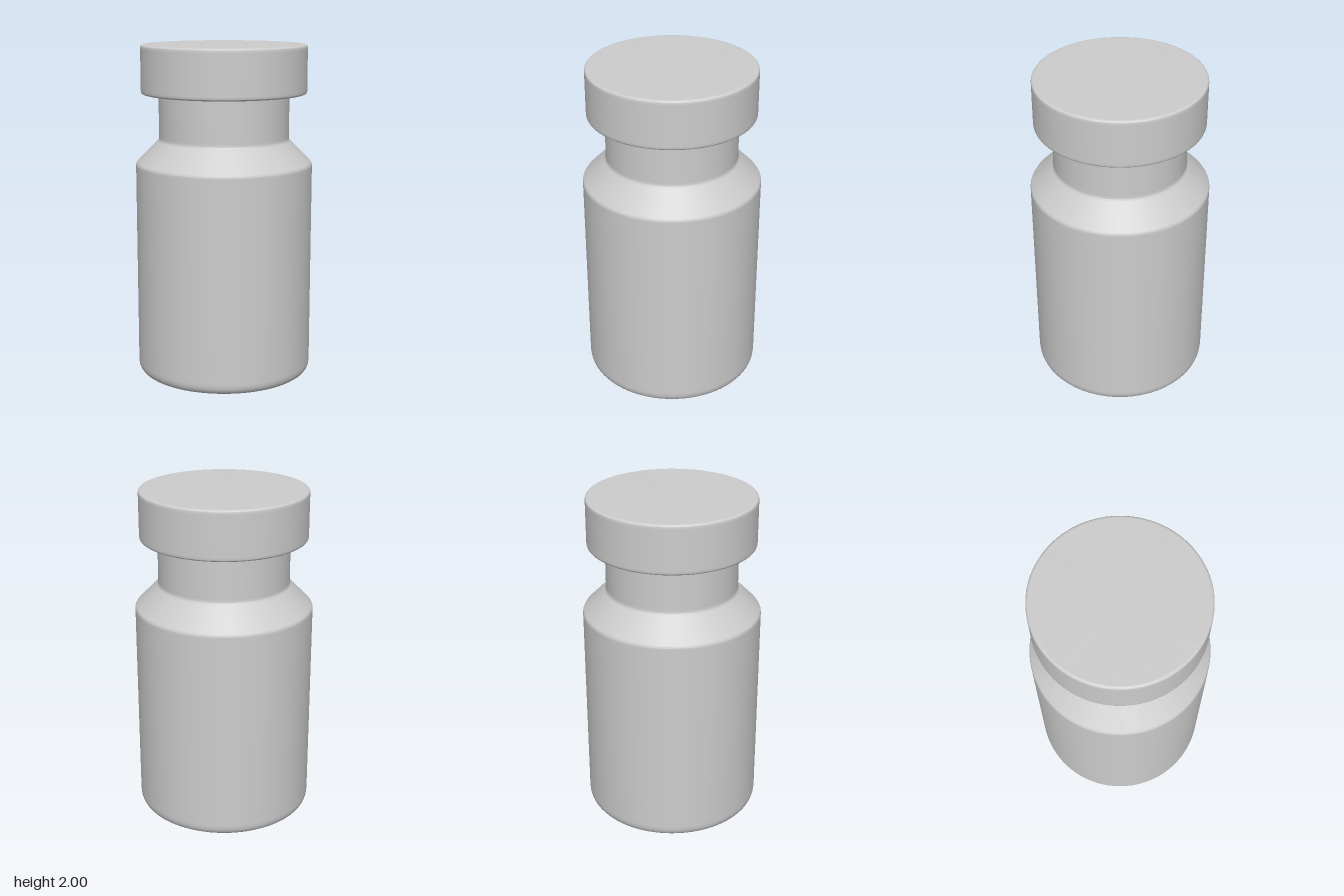
import * as THREE from 'three';
import { toCreasedNormals } from 'three/addons/utils/BufferGeometryUtils.js';

// Turns [radius, height, fillet] corners into a lathe with rounded edges.
function turned(corners) {
  const v = corners.map(([r, y]) => new THREE.Vector2(r, y));
  const pts = [v[0]];
  for (let i = 1; i < v.length - 1; i++) {
    const f = corners[i][2];
    const toward = (j, d) => v[j].clone().sub(v[i]).setLength(d).add(v[i]);
    const a = toward(i - 1, f), b = toward(i + 1, f);
    // support loops beside each fillet keep the large faces evenly shaded
    pts.push(toward(i - 1, f + 0.006));
    pts.push(...new THREE.QuadraticBezierCurve(a, v[i], b).getPoints(6));
    pts.push(toward(i + 1, f + 0.006));
  }
  pts.push(v[v.length - 1]);
  return toCreasedNormals(new THREE.LatheGeometry(pts, 96), 0.5);
}

export function createModel() {
  const group = new THREE.Group();
  group.name = 'vial';
  const grey = new THREE.MeshStandardMaterial({ color: 0xcccccc });
  grey.name = 'light grey';

  const add = (name, corners) => {
    const mesh = new THREE.Mesh(turned(corners), grey);
    mesh.name = name;
    group.add(mesh);
  };

  // bottle: rounded base, straight wall, sloping shoulder, narrow neck
  add('bottle', [
    [0, 0],
    [0.53, 0, 0.065],
    [0.53, 1.295, 0.012],
    [0.39, 1.437, 0.012],
    [0.39, 1.715],
  ]);

  // cap: wide disc with softened rims, seated on the neck
  add('cap', [
    [0.385, 1.71],
    [0.495, 1.71, 0.018],
    [0.495, 2, 0.018],
    [0, 2],
  ]);

  return group;
}
